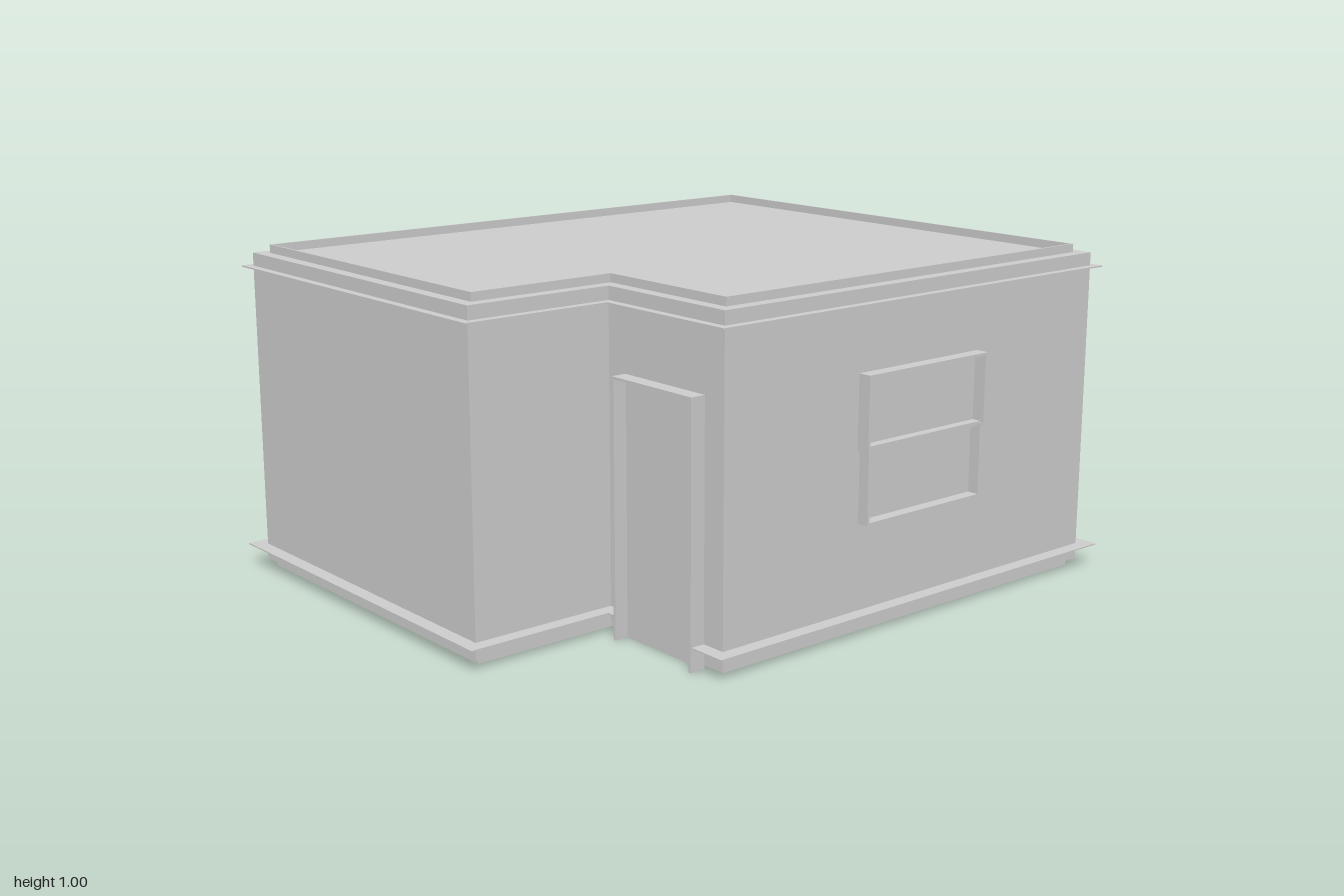
import * as THREE from 'three';

const DOOR = { left: 0.40, right: 0.725, top: 0.745 };

// L-shaped plan, moved outwards by d; optional gap in the recessed front edge
function plan(d, gap = false) {
  const p = [
    [-0.8 - d, 0.955 + d], [0.33 + d, 0.955 + d], [0.33 + d, 0.5 + d],
  ];
  if (gap) {
    p.push([DOOR.left, 0.5 + d], [DOOR.left, 0.502], [DOOR.right, 0.502], [DOOR.right, 0.5 + d]);
  }
  p.push([0.8 + d, 0.5 + d], [0.8 + d, -0.955 - d], [-0.8 - d, -0.955 - d]);
  return p.map(([x, z]) => new THREE.Vector2(x, -z));
}

// Horizontal slab or ring between two heights
function layer(name, outline, y0, y1, material, inner) {
  const shape = new THREE.Shape(outline);
  if (inner) shape.holes.push(new THREE.Path(inner));
  const geo = new THREE.ExtrudeGeometry(shape, { depth: y1 - y0, bevelEnabled: false });
  geo.rotateX(-Math.PI / 2);
  geo.translate(0, y0, 0);
  const mesh = new THREE.Mesh(geo, material);
  mesh.name = name;
  return mesh;
}

// Box given by its limits
function bar(name, x0, x1, y0, y1, z0, z1, material) {
  const mesh = new THREE.Mesh(new THREE.BoxGeometry(x1 - x0, y1 - y0, z1 - z0), material);
  mesh.position.set((x0 + x1) / 2, (y0 + y1) / 2, (z0 + z1) / 2);
  mesh.name = name;
  return mesh;
}

// Two-sash window frame, built facing +z around x = 0 on the wall plane
function makeWindow(name, width, material) {
  const g = new THREE.Group();
  g.name = name;
  const h = width / 2, t = 0.008, bottom = 0.33, mid = 0.54, top = 0.745;
  g.add(bar('windowHead', -h, h, top - t, top, 0, 0.04, material));
  g.add(bar('windowSill', -h + t, h - t, bottom - t, bottom, 0, 0.035, material));
  g.add(bar('meetingRail', -h, h, mid - t, mid + t / 2, 0, 0.028, material));
  for (const s of [-1, 1]) {
    const a = s * (h - t / 2), b = s * (h - t * 1.5);
    g.add(bar('upperJamb', a - t / 2, a + t / 2, mid - t, top, 0, 0.04, material));
    g.add(bar('lowerJamb', b - t / 2, b + t / 2, bottom - t, mid, 0, 0.035, material));
  }
  return g;
}

export function createModel() {
  const model = new THREE.Group();
  model.name = 'smallBuilding';
  const grey = new THREE.MeshStandardMaterial({ color: 0xcccccc });
  grey.name = 'light grey';

  // Floor, walls and roof
  model.add(layer('floorSlab', plan(-0.02), 0, 0.022, grey));
  model.add(layer('walls', plan(0), 0.022, 0.975, grey));
  model.add(layer('roofRim', plan(-0.037), 0.975, 1.0, grey, plan(-0.043)));

  // Thin ledges round the foot and the top of the walls
  model.add(layer('baseLedge', plan(0.042, true), 0.066, 0.07, grey, plan(-0.01)));
  model.add(layer('corniceLedge', plan(0.025), 0.932, 0.936, grey, plan(-0.01)));

  // Door in the recessed corner
  const door = new THREE.Group();
  door.name = 'door';
  const t = 0.008;
  door.add(bar('doorLeaf', DOOR.left + t, DOOR.right - t, 0, DOOR.top - t, 0.498, 0.504, grey));
  door.add(bar('doorHead', DOOR.left, DOOR.right, DOOR.top - t, DOOR.top, 0.498, 0.546, grey));
  for (const x of [DOOR.left, DOOR.right - t]) {
    door.add(bar('doorJamb', x, x + t, 0, DOOR.top - t, 0.498, 0.546, grey));
  }
  model.add(door);

  // Windows in the left side and the back
  const side = makeWindow('sideWindow', 0.475, grey);
  side.position.set(0.8, 0, -0.222);
  side.rotation.y = Math.PI / 2;
  const back = makeWindow('backWindow', 0.5, grey);
  back.position.set(-0.05, 0, -0.955);
  back.rotation.y = Math.PI;
  model.add(side, back);

  return model;
}
